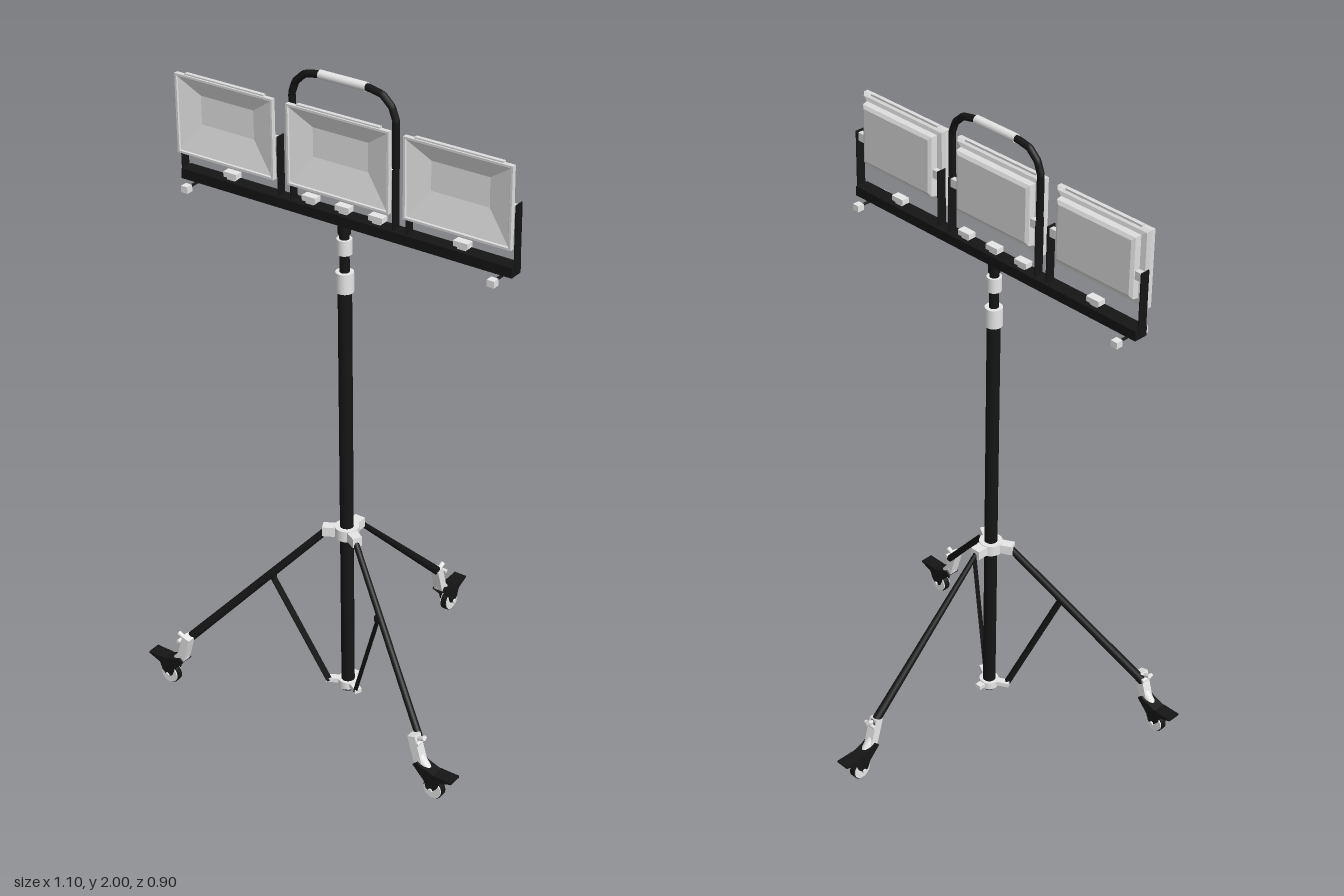
import * as THREE from 'three';

const V = (x, y, z) => new THREE.Vector3(x, y, z);
const paint = (name, color) => {
  const m = new THREE.MeshStandardMaterial({ color });
  m.name = name;
  return m;
};

export function createModel() {
  const black = paint('black metal', 0x151515);
  const grey = paint('pale grey fittings', 0xebebeb);
  const casing = paint('lamp casing grey', 0xdedede);
  const glass = paint('pale reflector', 0xf2f2f2);
  const root = new THREE.Group();
  root.name = 'floodlightStand';
  const MZ = 0.167; // depth of the mast
  const sides = [-1, 1];

  const add = (name, geo, mat, parent = root, x = 0, y = 0, z = 0) => {
    const m = new THREE.Mesh(geo, mat);
    m.name = name;
    m.position.set(x, y, z);
    parent.add(m);
    return m;
  };
  const box = (name, w, h, d, mat, parent, x, y, z) =>
    add(name, new THREE.BoxGeometry(w, h, d), mat, parent, x, y, z);
  const cyl = (name, r, y0, y1, mat) =>
    add(name, new THREE.CylinderGeometry(r, r, y1 - y0, 20), mat, root, 0, (y0 + y1) / 2, MZ);
  // Round bar between two points, or a flat strap when a width and depth are given
  const bar = (name, a, b, r0, r1, mat, parent = root, strap = false) => {
    const d = b.clone().sub(a), len = d.length();
    const geo = strap ? new THREE.BoxGeometry(r0, len, r1) : new THREE.CylinderGeometry(r1, r0, len, 16);
    const m = add(name, geo, mat, parent);
    m.position.copy(a).add(b).multiplyScalar(0.5);
    m.quaternion.setFromUnitVectors(V(0, 1, 0), d.normalize());
    return m;
  };
  // Rectangular loft through rings of [width, height, z, y offset]
  const loft = (rings, capStart, capEnd) => {
    const pos = [];
    const corners = rings.map(([w, h, z, o = 0]) =>
      [[-1, -1], [1, -1], [1, 1], [-1, 1]].map(([sx, sy]) => [sx * w / 2, sy * h / 2 + o, z]));
    const quad = (a, b, c, d) => pos.push(...a, ...b, ...c, ...a, ...c, ...d);
    for (let i = 0; i < corners.length - 1; i++)
      for (let k = 0; k < 4; k++) {
        const n = (k + 1) % 4;
        quad(corners[i][k], corners[i][n], corners[i + 1][n], corners[i + 1][k]);
      }
    const s = corners[0], e = corners[corners.length - 1];
    if (capStart) quad(s[3], s[2], s[1], s[0]);
    if (capEnd) quad(...e);
    const g = new THREE.BufferGeometry();
    g.setAttribute('position', new THREE.Float32BufferAttribute(pos, 3));
    g.computeVertexNormals();
    return g;
  };

  // Telescopic mast and its collars
  cyl('mastTube', 0.02, 0.025, 1.38, black);
  cyl('mastInnerTube', 0.014, 1.38, 1.58, black);
  cyl('mastCollar', 0.026, 1.37, 1.43, grey);
  cyl('mastUpperCollar', 0.022, 1.485, 1.53, grey);
  cyl('mastCap', 0.018, 1.545, 1.578, black);

  // Cross bar with adjusting screws and small clips
  box('crossBar', 1.09, 0.03, 0.044, black, root, 0, 1.59, MZ);
  for (const s of sides) {
    const x = s * 0.505;
    bar('screwRod', V(x, 1.565, 0.11), V(x, 1.565, 0.225), 0.004, 0.004, black);
    for (const z of [0.117, 0.217]) box('screwKnob', 0.022, 0.02, 0.022, grey, root, x, 1.564, z);
  }
  for (const x of [-0.38, -0.11, 0, 0.11, 0.38]) {
    box('barClip', 0.045, 0.016, 0.025, grey, root, x, 1.621, MZ);
    box('barClipFoot', 0.026, 0.01, 0.016, grey, root, x, 1.609, MZ);
  }

  // Three lamps, each in a pair of thin upright brackets
  for (const x of [-0.379, 0, 0.379]) {
    const lamp = new THREE.Group();
    lamp.name = 'lamp';
    lamp.position.set(x, 1.776, 0);
    root.add(lamp);
    add('lampCasing', loft([
      [0.26, 0.165, 0.15, 0.005], [0.28, 0.185, 0.156, 0.005], [0.285, 0.19, 0.174, 0.005],
      [0.318, 0.222, 0.177], [0.333, 0.236, 0.186], [0.333, 0.236, 0.2], [0.32, 0.223, 0.2],
    ], true, false), casing, lamp);
    add('lampReflector', loft([
      [0.32, 0.223, 0.2], [0.314, 0.217, 0.197], [0.18, 0.085, 0.182, 0.02],
    ], false, true), glass, lamp);
    box('lampTopLip', 0.27, 0.006, 0.012, casing, lamp, 0, 0.119, 0.189);
    for (const s of sides) {
      box('lampBracket', 0.003, 0.18, 0.03, black, lamp, s * 0.168, -0.086, MZ);
      box('lampPivot', 0.03, 0.026, 0.016, casing, lamp, s * 0.151, -0.015, MZ);
    }
  }

  // Carrying handle over the middle lamp
  const path = new THREE.CurvePath();
  const pts = [[-0.168, 1.78], [-0.168, 1.915], [-0.155, 1.95], [-0.125, 1.978], [-0.085, 1.986],
    [0.085, 1.986], [0.125, 1.978], [0.155, 1.95], [0.168, 1.915], [0.168, 1.78]].map(([x, y]) => V(x, y, MZ));
  for (let i = 0; i < pts.length - 1; i++) path.add(new THREE.LineCurve3(pts[i], pts[i + 1]));
  add('handle', new THREE.TubeGeometry(path, 90, 0.0105, 10), black);
  bar('handleGrip', V(-0.075, 1.987, MZ), V(0.075, 1.987, MZ), 0.013, 0.013, grey);

  // Upper hub
  cyl('upperHub', 0.036, 0.57, 0.605, grey);
  box('rearHubLug', 0.034, 0.03, 0.045, grey, root, 0, 0.588, 0.122);

  // Lower hub
  cyl('lowerHub', 0.03, 0.036, 0.06, grey);
  box('lowerRearLug', 0.02, 0.014, 0.03, grey, root, 0, 0.05, 0.132);

  // Lugs for the front legs and braces
  for (const s of sides) {
    box('hubLug', 0.05, 0.03, 0.03, grey, root, s * 0.04, 0.588, MZ + 0.022).rotation.y = -s * 0.5;
    box('lowerHubLug', 0.05, 0.014, 0.022, grey, root, s * 0.037, 0.052, MZ + 0.018).rotation.y = -s * 0.5;
  }

  // Tapered legs and flat front braces
  bar('rearLeg', V(0, 0.585, 0.105), V(0, 0.17, -0.325), 0.008, 0.014, black);
  const legs = [
    { s: -1, top: 0.011, foot: 0.014, brace: 0.017 },
    { s: 1, top: 0.009, foot: 0.011, brace: 0.01 },
  ];
  for (const { s, top, foot, brace } of legs) {
    bar('frontLeg', V(s * 0.05, 0.588, 0.197), V(s * 0.425, 0.165, 0.408), top, foot, black);
    bar('brace', V(s * 0.19, 0.42, 0.28), V(s * 0.048, 0.05, 0.198), brace, 0.011, black, root, true);
    box('braceJoint', 0.018, 0.018, 0.018, black, root, s * 0.19, 0.42, 0.28);
  }

  // Swivelling casters, built pointing along +x
  const fork = new THREE.Shape([[-0.002, 0.1], [0.012, 0.112], [0.04, 0.095], [0.075, 0.088], [0.128, 0.092],
    [0.128, 0.086], [0.088, 0.07], [0.078, 0.045], [0.06, 0.028], [0.045, 0.035], [0.036, 0.06]]
    .map(([x, y]) => new THREE.Vector2(x, y)));
  const cheekGeo = new THREE.ExtrudeGeometry(fork, { depth: 0.006, bevelEnabled: false });
  const caster = (x, z, turn) => {
    const g = new THREE.Group();
    g.name = 'caster';
    g.position.set(x, 0, z);
    g.rotation.y = turn;
    root.add(g);
    bar('legSocket', V(-0.012, 0.19, 0), V(0.012, 0.105, 0), 0.026, 0.03, grey, g, true);
    bar('socketFoot', V(0.008, 0.12, 0), V(0.04, 0.085, 0), 0.016, 0.013, grey, g);
    bar('socketBolt', V(0.012, 0.175, -0.022), V(0.012, 0.175, 0.022), 0.006, 0.006, grey, g);
    bar('socketKnob', V(0.0, 0.18, 0), V(0.024, 0.19, 0), 0.006, 0.008, grey, g);
    for (const cz of [-0.021, 0.015]) add('forkCheek', cheekGeo, black, g, 0, 0, cz);
    bar('forkTop', V(0.008, 0.105, 0), V(0.075, 0.082, 0), 0.01, 0.04, black, g, true);
    box('brakePedal', 0.06, 0.006, 0.042, black, g, 0.099, 0.088, 0);
    bar('wheel', V(0.06, 0.032, -0.013), V(0.06, 0.032, 0.013), 0.029, 0.029, grey, g);
    bar('wheelTread', V(0.06, 0.032, -0.009), V(0.06, 0.032, 0.009), 0.032, 0.032, black, g);
    bar('axle', V(0.06, 0.034, -0.026), V(0.06, 0.034, 0.026), 0.007, 0.007, grey, g);
  };
  caster(0.42, 0.418, 0);
  caster(-0.42, 0.418, Math.PI);
  caster(0, -0.323, Math.PI / 2);

  return root;
}
